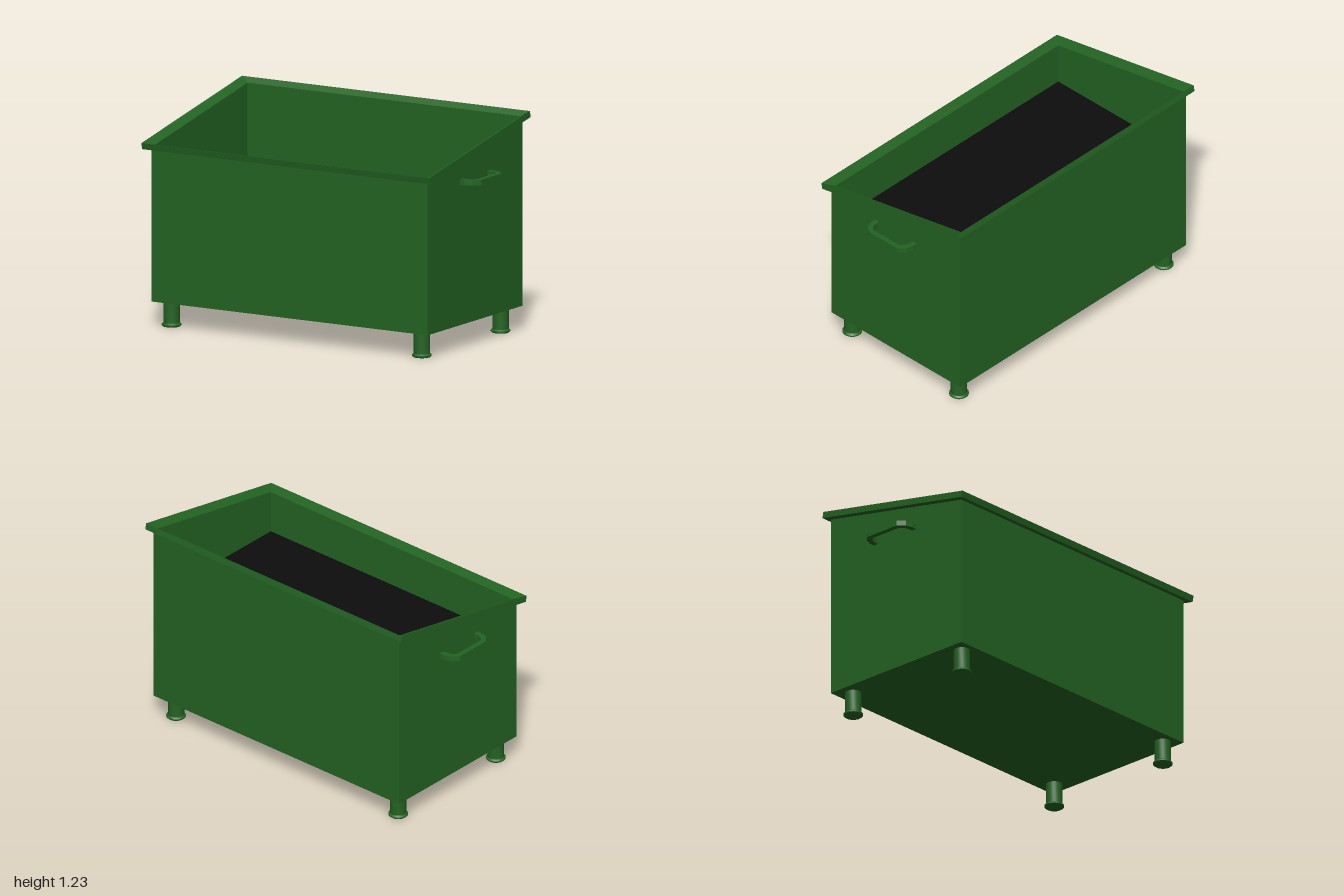
import * as THREE from 'three';
import { toCreasedNormals } from 'three/addons/utils/BufferGeometryUtils.js';

// Four corners of a rectangular section whose front and back heights may differ.
function ring(xl, xr, zf, yf, zb, yb) {
  return [[xl, yf, zf], [xr, yf, zf], [xr, yb, zb], [xl, yb, zb]];
}

// Joins successive rings with flat quads; optionally closes the first or last ring.
function loft(rings, { capStart = false, capEnd = false } = {}) {
  const pos = [];
  const quad = (a, b, c, d) => pos.push(...a, ...b, ...c, ...a, ...c, ...d);
  for (let i = 0; i < rings.length - 1; i++) {
    const p = rings[i], q = rings[i + 1];
    for (let k = 0; k < 4; k++) {
      const n = (k + 1) % 4;
      quad(p[k], p[n], q[n], q[k]);
    }
  }
  if (capStart) quad(...[...rings[0]].reverse());
  if (capEnd) quad(...rings[rings.length - 1]);
  const geo = new THREE.BufferGeometry();
  geo.setAttribute('position', new THREE.Float32BufferAttribute(pos, 3));
  geo.computeVertexNormals();
  return geo;
}

// Angular bracket grip lying in the horizontal plane.
function handleGeometry() {
  const outer = [[0.895, 0.157], [0.925, 0.157], [0.965, 0.145], [1, 0.108]];
  const inner = [[0.895, 0.127], [0.922, 0.127], [0.95, 0.119], [0.97, 0.098]];
  const mirror = (pts) => pts.map(([x, s]) => [x, -s]).reverse();
  const outline = [...outer, ...mirror(outer), ...inner.map(([x, s]) => [x, -s]), ...[...inner].reverse()];
  const shape = new THREE.Shape(outline.map(([x, s]) => new THREE.Vector2(x, s)));
  const geo = new THREE.ExtrudeGeometry(shape, { depth: 0.03, bevelEnabled: false });
  geo.translate(0, 0, -0.015);
  geo.rotateX(Math.PI / 2);
  return geo;
}

export function createModel() {
  const group = new THREE.Group();
  const green = new THREE.MeshStandardMaterial({ color: 0x236323 });
  const soilMat = new THREE.MeshStandardMaterial({ color: 0x0d0d0d });

  const add = (name, geo, mat = green, x = 0, y = 0, z = 0) => {
    const mesh = new THREE.Mesh(geo, mat);
    mesh.name = name;
    mesh.position.set(x, y, z);
    group.add(mesh);
    return mesh;
  };

  const bodyBottom = ring(-0.887, 0.895, 0.48, 0.14, -0.495, 0.14);
  const bodyTop = ring(-0.887, 0.895, 0.48, 0.998, -0.495, 1.186);
  const rimBottom = ring(-0.925, 0.932, 0.515, 0.991, -0.522, 1.191);
  const rimTop = ring(-0.925, 0.932, 0.522, 1.026, -0.515, 1.226);
  const lip = ring(-0.873, 0.882, 0.462, 1.013, -0.489, 1.197);
  const soilLevel = ring(-0.873, 0.882, 0.462, 0.765, -0.489, 0.765);

  // Box with a sloping top, its overhanging rim and the inside walls
  add('body', loft([bodyBottom, bodyTop], { capStart: true }));
  add('rim', loft([bodyTop, rimBottom, rimTop, lip]));
  add('innerWalls', loft([lip, soilLevel]));
  add('soil', loft([soilLevel], { capEnd: true }), soilMat);

  // Round legs with a flared foot
  const legProfile = [[0, 0], [0.047, 0], [0.054, 0.006], [0.054, 0.013], [0.045, 0.021], [0.045, 0.142]]
    .map(([r, y]) => new THREE.Vector2(r, y));
  const legGeo = toCreasedNormals(new THREE.LatheGeometry(legProfile, 24), 0.6);
  for (const x of [-0.803, 0.811]) {
    for (const z of [0.405, -0.405]) {
      add(`${z > 0 ? 'front' : 'back'}${x > 0 ? 'Left' : 'Right'}Leg`, legGeo, green, x, 0, z);
    }
  }

  // Side handles
  const handleGeo = handleGeometry();
  add('leftHandle', handleGeo, green, 0, 0.938, -0.008);
  add('rightHandle', handleGeo, green, 0, 0.938, -0.008).rotation.y = Math.PI;

  return group;
}
